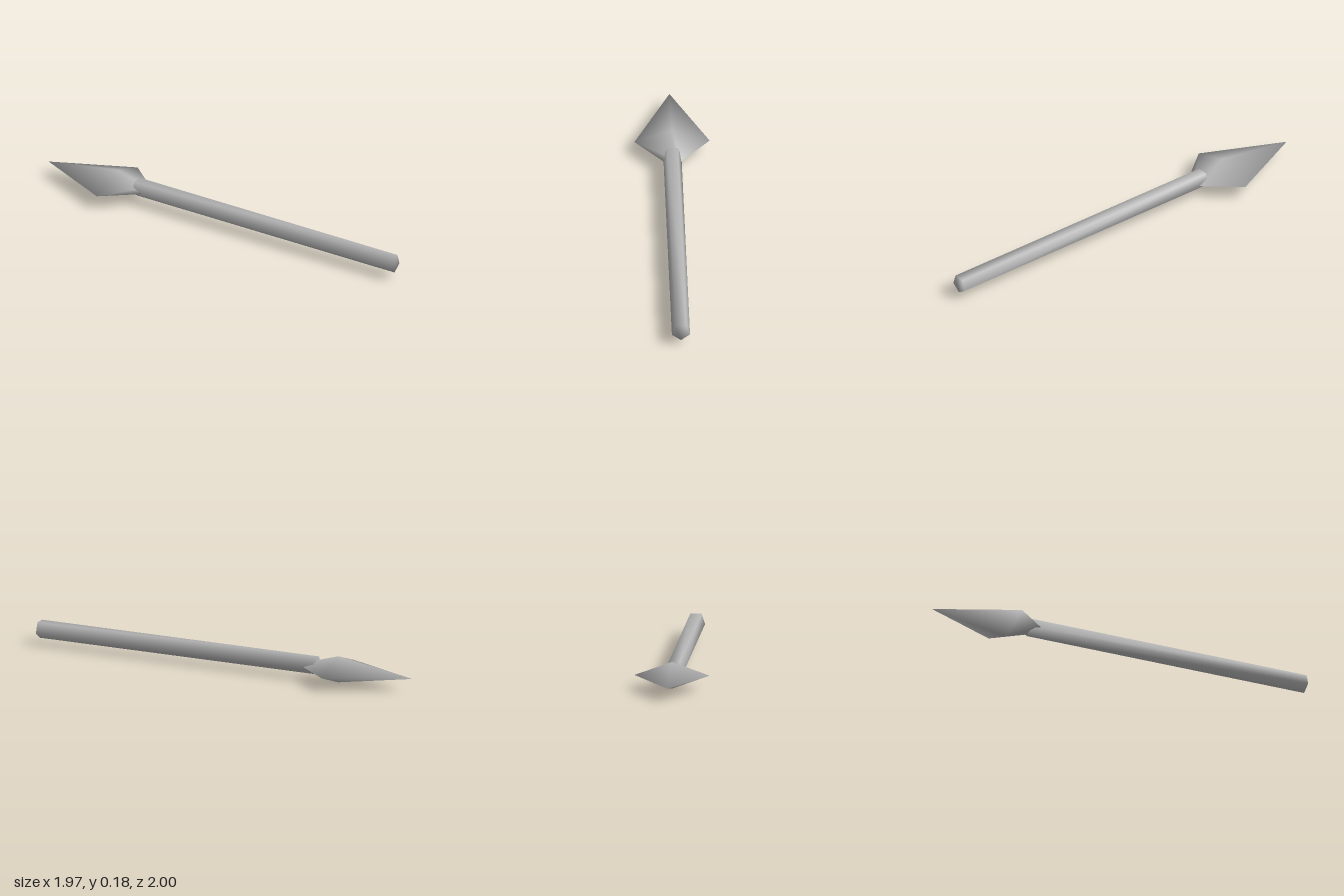
import * as THREE from 'three';
import { mergeVertices } from 'three/addons/utils/BufferGeometryUtils.js';

// Skins a row of polygon rings along z; corners are shared, so shading is smooth.
// Each ring: [z, centre x, centre y, half width, half height]
function loft(rings, sides, startAngle) {
  const pos = [], index = [];
  for (const [z, cx, cy, rx, ry] of rings) {
    for (let i = 0; i < sides; i++) {
      const a = startAngle + (i / sides) * Math.PI * 2;
      pos.push(cx + rx * Math.cos(a), cy + ry * Math.sin(a), z);
    }
  }
  const last = (rings.length - 1) * sides;
  for (let r = 0; r < last; r += sides) {
    for (let i = 0; i < sides; i++) {
      const j = (i + 1) % sides;
      const a = r + i, b = r + j, c = a + sides, d = b + sides;
      // A ring of zero size is a point and needs only one triangle per side
      if (rings[r / sides][3] > 0) index.push(a, b, c);
      index.push(b, d, c);
    }
  }
  // End caps
  for (let i = 1; i < sides - 1; i++) {
    if (rings[0][3] > 0) index.push(0, i + 1, i);
    index.push(last, last + i, last + i + 1);
  }
  let geo = new THREE.BufferGeometry();
  geo.setAttribute('position', new THREE.Float32BufferAttribute(pos, 3));
  geo.setIndex(index);
  geo = mergeVertices(geo);
  geo.computeVertexNormals();
  return geo;
}

export function createModel() {
  const model = new THREE.Group();
  model.name = 'spear';
  const grey = new THREE.MeshStandardMaterial({ color: 0xb4b4b4 });
  grey.name = 'grey';

  // Five-sided shaft, flat side up
  const shaft = new THREE.Mesh(loft([
    [-0.7, 0.005, 0.098, 0.0635, 0.0635],
    [1.343, -0.01, 0.098, 0.0635, 0.0635],
  ], 5, -Math.PI / 2), grey);
  shaft.name = 'shaft';

  // Four-sided head: tip, widest ring, socket end
  const head = new THREE.Mesh(loft([
    [-1.404, 0.01, 0.09, 0, 0],
    [-0.86, 0.008, 0.09, 0.25, 0.09],
    [-0.633, 0.004, 0.09, 0.062, 0.0225],
  ], 4, 0), grey);
  head.name = 'spearHead';

  // The spear lies diagonally on the ground
  const spear = new THREE.Group();
  spear.name = 'spearBody';
  spear.rotation.y = Math.PI / 4;
  spear.add(shaft, head);
  model.add(spear);
  return model;
}
